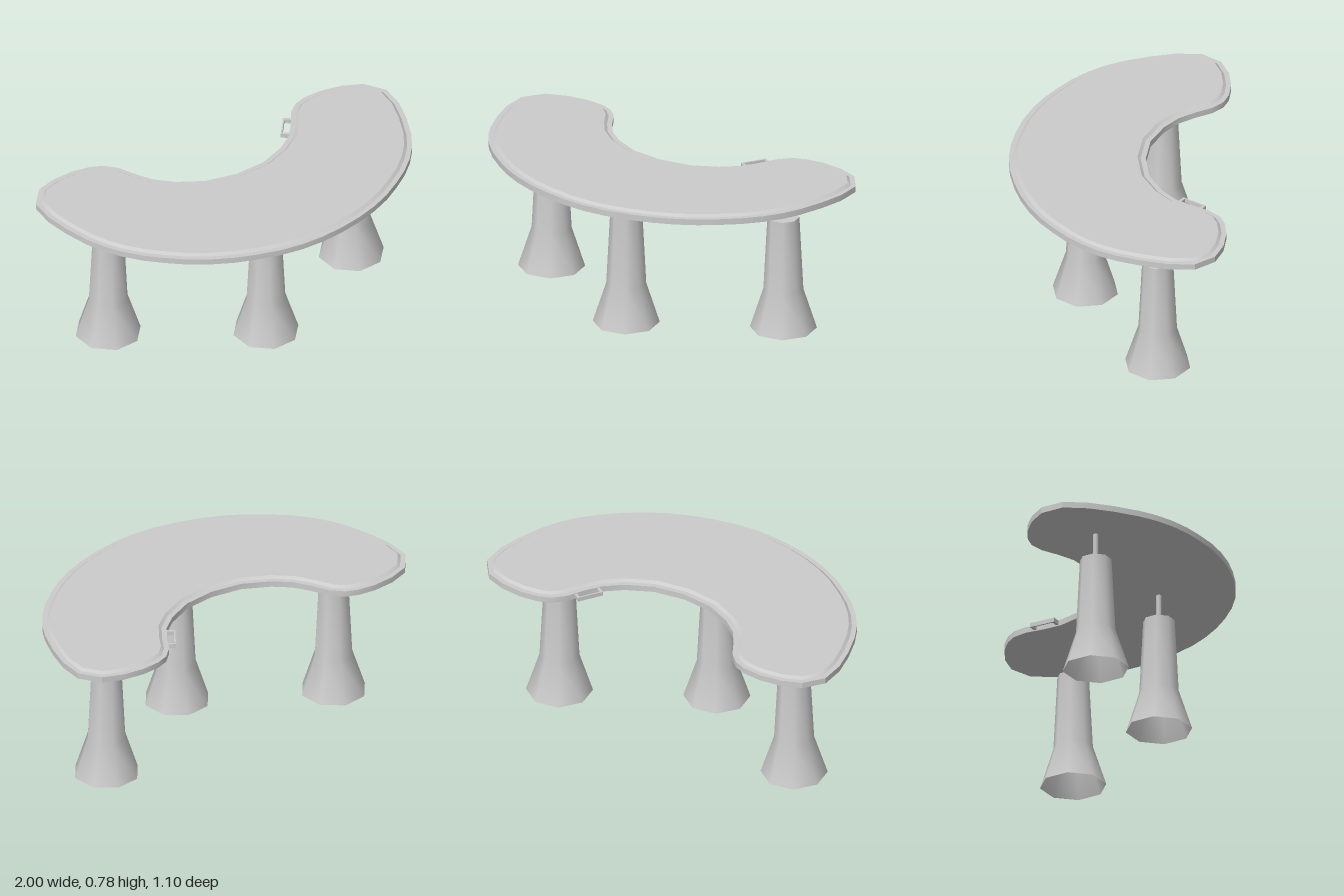
import * as THREE from 'three';
import { toCreasedNormals } from 'three/addons/utils/BufferGeometryUtils.js';

const grey = new THREE.MeshStandardMaterial({ color: 0xcccccc });
const greyOpen = new THREE.MeshStandardMaterial({ color: 0xcccccc, side: THREE.DoubleSide });

function part(name, geometry, parent, material = grey) {
  const mesh = new THREE.Mesh(geometry, material);
  mesh.name = name;
  parent.add(mesh);
  return mesh;
}

// Half outline of the kidney-shaped top as [x, z], from front centre to back centre
const HALF = [
  [0, 0.545], [0.12, 0.537], [0.245, 0.513], [0.36, 0.48], [0.47, 0.435], [0.57, 0.38],
  [0.66, 0.315], [0.745, 0.245], [0.82, 0.165], [0.88, 0.08], [0.925, -0.01], [0.97, -0.14],
  [1, -0.27], [1, -0.4], [0.925, -0.5], [0.82, -0.54], [0.705, -0.553], [0.61, -0.543],
  [0.545, -0.518], [0.49, -0.465], [0.44, -0.375], [0.385, -0.295], [0.3, -0.225],
  [0.165, -0.16], [0, -0.138],
];

// Moves every corner of a counter-clockwise outline inwards by d
function inset(points, d) {
  const n = points.length;
  const normal = (a, b) => new THREE.Vector2(a.y - b.y, b.x - a.x).normalize();
  return points.map((p, i) => {
    const n1 = normal(points[(i + n - 1) % n], p);
    const n2 = normal(p, points[(i + 1) % n]);
    return n1.clone().add(n2).multiplyScalar(d / (1 + n1.dot(n2))).add(p);
  });
}

// Slab made of stacked outlines, each [inset, height], closed below and above
function tabletopGeometry(levels) {
  const mirrored = HALF.slice(1, -1).reverse().map(([x, z]) => [-x, z]);
  const outline = [...HALF, ...mirrored].map(([x, z]) => new THREE.Vector2(x, -z));
  const n = outline.length;
  const positions = [];
  const index = [];
  const rings = levels.map(([d, y]) => {
    const ring = inset(outline, d);
    ring.forEach((p) => positions.push(p.x, y, -p.y));
    return ring;
  });
  for (let k = 0; k < rings.length - 1; k++) {
    for (let i = 0; i < n; i++) {
      const a = k * n + i;
      const b = k * n + ((i + 1) % n);
      index.push(a, b, b + n, a, b + n, a + n);
    }
  }
  const last = (rings.length - 1) * n;
  for (const [a, b, c] of THREE.ShapeUtils.triangulateShape(rings[0], [])) index.push(a, c, b);
  for (const [a, b, c] of THREE.ShapeUtils.triangulateShape(rings.at(-1), [])) {
    index.push(last + a, last + b, last + c);
  }
  const geometry = new THREE.BufferGeometry();
  geometry.setAttribute('position', new THREE.Float32BufferAttribute(positions, 3));
  geometry.setIndex(index);
  return toCreasedNormals(geometry, 0.4);
}

// Flared eight-sided leg, open underneath, with a thin post up to the top
function leg(x, z) {
  const group = new THREE.Group();
  group.name = 'leg';
  const turn = THREE.MathUtils.degToRad(31);
  const profile = [[0.1675, 0], [0.1, 0.21], [0.08, 0.6]].map((p) => new THREE.Vector2(...p));
  part('legShell', new THREE.LatheGeometry(profile, 8, turn), group, greyOpen);
  const cap = new THREE.CircleGeometry(0.08, 8, turn - Math.PI / 2).rotateX(-Math.PI / 2);
  part('legCap', cap, group, greyOpen).position.y = 0.6;
  part('post', new THREE.CylinderGeometry(0.0135, 0.0135, 0.15, 12), group).position.y = 0.67;
  group.position.set(x, 0, z);
  return group;
}

// Small bracket fixed to the hollow edge
function edgeBracket() {
  const group = new THREE.Group();
  group.name = 'edgeBracket';
  part('bracketBar', new THREE.BoxGeometry(0.125, 0.022, 0.008), group);
  for (const side of [-1, 1]) {
    part('bracketArm', new THREE.BoxGeometry(0.014, 0.022, 0.05), group).position.set(side * 0.062, 0, 0.02);
  }
  group.position.set(0.4, 0.757, -0.387);
  group.rotation.y = THREE.MathUtils.degToRad(56);
  return group;
}

export function createModel() {
  const model = new THREE.Group();
  model.name = 'curvedTable';
  part('tabletop', tabletopGeometry([[0, 0.74], [0, 0.771], [0.025, 0.771], [0.04, 0.783]]), model);
  for (const [x, z] of [[-0.693, -0.21], [0, 0.163], [0.693, -0.21]]) model.add(leg(x, z));
  model.add(edgeBracket());
  return model;
}
